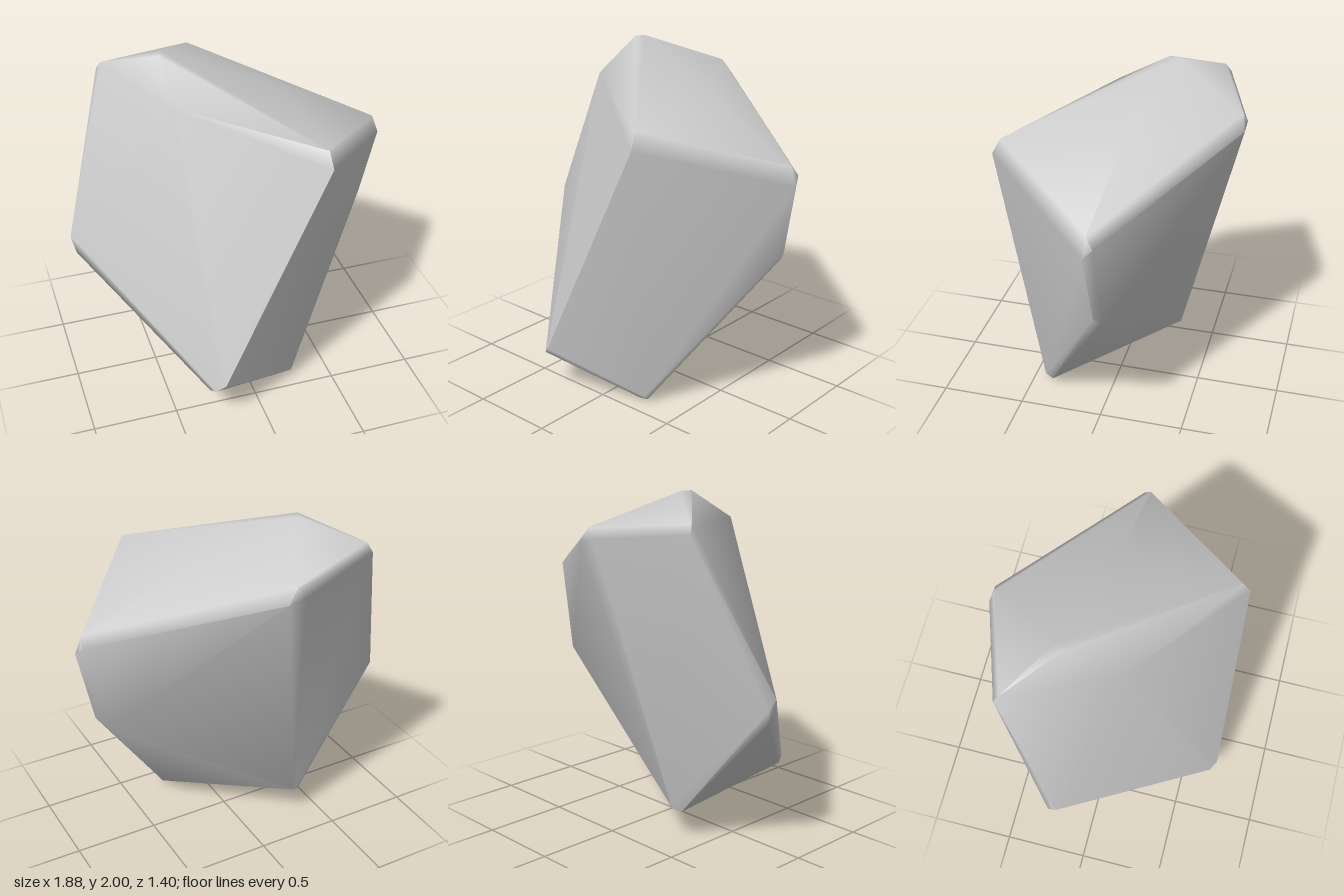
import * as THREE from 'three';
import { ConvexGeometry } from 'three/addons/geometries/ConvexGeometry.js';

// Corners of the boulder; most are clusters of points that chip the corner.
const corners = {
  peak: [[-0.35, 2.0, -0.2], [-0.33, 2.0, -0.26]],
  frontShoulder: [[-0.36, 1.83, 0.1]],
  topBulge: [[0.33, 1.76, -0.1]],
  backRightTop: [[-0.65, 1.82, -0.51], [-0.63, 1.87, -0.48]],
  backTop: [[0, 1.74, -0.7], [-0.1, 1.76, -0.7], [-0.06, 1.82, -0.68]],
  frontTop: [[0.36, 1.71, 0.59], [0.37, 1.62, 0.64]],
  leftTop: [[0.9, 1.49, -0.05], [0.92, 1.43, -0.09], [0.94, 1.38, -0.04]],
  leftLow: [[0.86, 0.96, -0.07], [0.81, 0.9, -0.11]],
  rightLow: [[-0.94, 0.94, -0.15], [-0.93, 0.88, -0.2], [-0.91, 0.8, -0.17]],
  frontLow: [[-0.25, 0.3, 0.7], [-0.3, 0.25, 0.67], [-0.32, 0.22, 0.62]],
  backLow: [[-0.37, 0.17, -0.29], [-0.32, 0.19, -0.32]],
  foot: [[0.19, 0, 0.38], [0.25, 0.01, 0.38], [0.26, 0.05, 0.42]],
};

// Area-weighted normals, so broad faces stay flat and only narrow bevels blend;
// edges steeper than the crease angle stay sharp.
function weightNormals(geometry, creaseAngle) {
  const position = geometry.attributes.position;
  const corner = (i) => new THREE.Vector3().fromBufferAttribute(position, i);
  const faces = [];
  for (let i = 0; i < position.count; i += 3) {
    const points = [corner(i), corner(i + 1), corner(i + 2)];
    const weighted = points[1].clone().sub(points[0]).cross(points[2].clone().sub(points[0]));
    faces.push({ points, weighted });
  }
  faces.forEach((face, f) => face.points.forEach((point, k) => {
    const normal = new THREE.Vector3();
    for (const other of faces) {
      const touches = other.points.some((p) => p.distanceTo(point) < 1e-4);
      if (touches && other.weighted.angleTo(face.weighted) < creaseAngle) normal.add(other.weighted);
    }
    normal.normalize();
    geometry.attributes.normal.setXYZ(f * 3 + k, normal.x, normal.y, normal.z);
  }));
  return geometry;
}

export function createModel() {
  const group = new THREE.Group();
  group.name = 'rock';

  const stoneGrey = new THREE.MeshStandardMaterial({ color: 0xcccccc });
  stoneGrey.name = 'stoneGrey';

  // Convex stone with softly bevelled corners and sharp main ridges
  const points = Object.values(corners).flat().map((p) => new THREE.Vector3(...p));
  const geometry = weightNormals(new ConvexGeometry(points), THREE.MathUtils.degToRad(52));
  const boulder = new THREE.Mesh(geometry, stoneGrey);
  boulder.name = 'boulder';
  group.add(boulder);

  return group;
}
